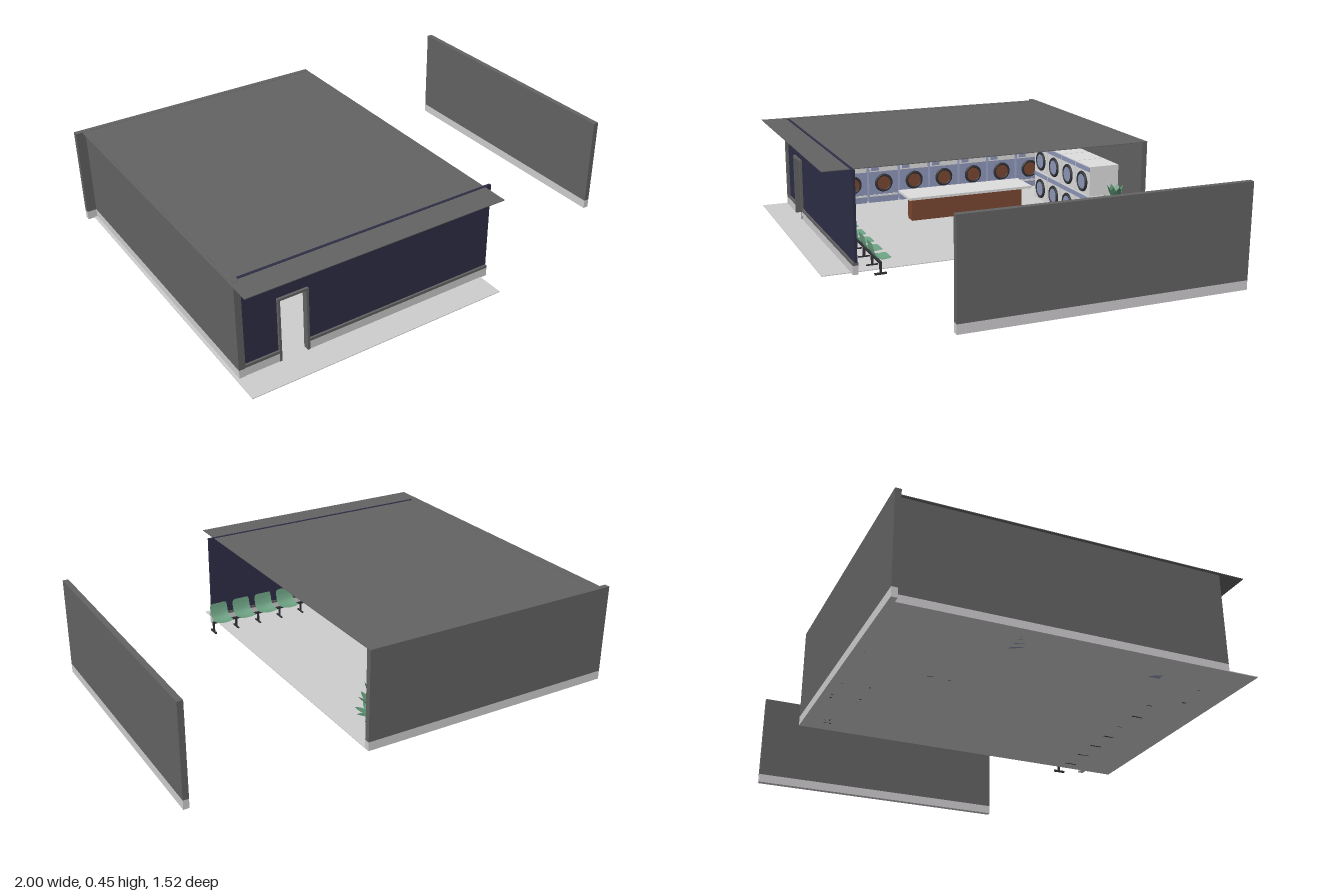
import * as THREE from 'three';

const mat = (name, color, side = THREE.FrontSide) => {
  const m = new THREE.MeshStandardMaterial({ color, side });
  m.name = name;
  return m;
};

export function createModel() {
  const M = {
    wall: mat('wallGrey', 0x636363, THREE.DoubleSide),
    pale: mat('paleFloor', 0xcfcdcf),
    navy: mat('navyPanel', 0x2e2e47),
    lavender: mat('machineLavender', 0x8f98ba),
    white: mat('machineWhite', 0xdedede),
    brown: mat('brown', 0x7a4630),
    dark: mat('darkMetal', 0x303236),
    seat: mat('seatGreen', 0x6da183, THREE.DoubleSide),
    leaf: mat('leafGreen', 0x5b8f70, THREE.DoubleSide),
    pot: mat('potGreen', 0x35503f),
  };
  const root = new THREE.Group();

  const add = (parent, name, geo, material, x = 0, y = 0, z = 0) => {
    const m = new THREE.Mesh(geo, material);
    m.name = name;
    m.position.set(x, y, z);
    parent.add(m);
    return m;
  };
  // Box given by its lower and upper corners
  const box = (parent, name, material, x0, x1, y0, y1, z0, z1) =>
    add(parent, name, new THREE.BoxGeometry(x1 - x0, y1 - y0, z1 - z0), material,
      (x0 + x1) / 2, (y0 + y1) / 2, (z0 + z1) / 2);
  const group = (name, x = 0, y = 0, z = 0, parent = root) => {
    const g = new THREE.Group();
    g.name = name;
    g.position.set(x, y, z);
    parent.add(g);
    return g;
  };

  // Floor and roof slabs
  box(root, 'floor', M.pale, -0.97, 0.21, 0, 0.003, -0.765, 0.76);
  box(root, 'roof', M.wall, -0.97, 0.21, 0.441, 0.444, -0.765, 0.745);

  // Solid walls with a pale skirting
  const wall = (name, x0, x1, z0, z1) => {
    const g = group(name);
    box(g, 'skirting', M.pale, x0, x1, 0, 0.04, z0, z1);
    box(g, 'wallPanel', M.wall, x0, x1, 0.04, 0.445, z0, z1);
  };
  wall('backWall', -1, 0.21, -0.765, -0.74);
  wall('sideWall', -0.957, -0.932, -0.74, 0.637);
  wall('detachedSideWall', 0.975, 1, -0.765, 0.472);

  // Front wall with a door opening
  const front = group('frontWall');
  const dl = -0.78, dr = -0.645, dt = 0.295;
  for (const [x0, x1] of [[-0.932, dl], [dr, 0.24]]) {
    box(front, 'skirting', M.pale, x0, x1, 0, 0.04, 0.61, 0.635);
    box(front, 'sill', M.wall, x0, x1, 0.04, 0.052, 0.61, 0.635);
    box(front, 'panel', M.navy, x0, x1, 0.052, 0.446, 0.614, 0.626);
  }
  box(front, 'panelOverDoor', M.navy, dl, dr, dt, 0.446, 0.614, 0.626);
  box(front, 'frameEdge', M.wall, -0.936, -0.928, 0.04, 0.444, 0.61, 0.635);
  box(front, 'doorPost', M.wall, dl, dl + 0.01, 0, dt, 0.608, 0.637);
  box(front, 'doorPost', M.wall, dr - 0.01, dr, 0, dt, 0.608, 0.637);
  box(front, 'doorLintel', M.wall, dl, dr, dt - 0.01, dt, 0.608, 0.637);

  // Round machine door facing +z
  const porthole = (g, y, z, r, ring, glass) => {
    add(g, 'doorRing', new THREE.TorusGeometry(r, r * 0.18, 8, 28), ring, 0, y, z);
    add(g, 'doorGlass', new THREE.CylinderGeometry(r, r, 0.008, 28).rotateX(Math.PI / 2), glass, 0, y, z);
  };

  // Row of washers along the side wall
  for (let i = 0; i < 8; i++) {
    const g = group('washer', -0.868, 0, 0.498 - i * 0.165);
    g.rotation.y = Math.PI / 2;
    box(g, 'body', M.lavender, -0.077, 0.077, 0, 0.205, -0.062, 0.062);
    box(g, 'controlPanel', M.white, -0.075, 0.075, 0.165, 0.197, 0.062, 0.066);
    box(g, 'kickStrip', M.white, -0.075, 0.075, 0.035, 0.044, 0.062, 0.066);
    box(g, 'soapDrawer', M.lavender, -0.066, -0.026, 0.171, 0.19, 0.066, 0.068);
    porthole(g, 0.104, 0.064, 0.04, M.dark, M.brown);
  }

  // Stacked dryers along the back wall
  for (let i = 0; i < 4; i++) {
    const stack = group('dryerStack', -0.065 - i * 0.15, 0, -0.662);
    for (const x of [-0.06, 0.06]) for (const z of [-0.06, 0.06])
      add(stack, 'foot', new THREE.CylinderGeometry(0.006, 0.006, 0.01, 10), M.dark, x, 0.005, z);
    for (const y of [0.008, 0.153]) {
      const g = group('dryer', 0, y, 0, stack);
      box(g, 'body', M.white, -0.073, 0.073, 0, 0.143, -0.075, 0.075);
      box(g, 'controlPanel', M.lavender, -0.07, 0.07, 0.118, 0.139, 0.075, 0.078);
      porthole(g, 0.06, 0.077, 0.042, M.dark, M.lavender);
    }
  }

  // Folding table in the middle of the room
  const table = group('foldingTable', -0.443, 0, -0.14);
  box(table, 'base', M.brown, -0.03, 0.03, 0, 0.12, -0.29, 0.29);
  box(table, 'top', M.white, -0.085, 0.085, 0.12, 0.132, -0.32, 0.32);

  // Seat shell: a sheet bent along a profile, with rounded ends
  const profile = new THREE.CatmullRomCurve3([
    [0.134, 0.557], [0.1, 0.552], [0.072, 0.54], [0.06, 0.518], [0.061, 0.495], [0.064, 0.472],
  ].map(([y, z]) => new THREE.Vector3(0, y, z)));
  const shell = new THREE.PlaneGeometry(0.09, 1, 8, 24);
  const p = shell.attributes.position;
  for (let i = 0; i < p.count; i++) {
    const t = 0.5 - p.getY(i);
    const c = profile.getPointAt(THREE.MathUtils.clamp(t, 0, 1));
    const w = Math.pow(1 - Math.pow(Math.abs(2 * t - 1), 8), 0.4);
    const x = p.getX(i) * (0.5 + 0.5 * w);
    p.setXYZ(i, x, c.y + 2.5 * x * x, c.z);
  }
  shell.computeVertexNormals();

  // Row of seats along the front wall, on a shared beam
  const seats = group('seatRow');
  box(seats, 'beam', M.dark, -0.567, 0.275, 0.046, 0.055, 0.519, 0.53);
  for (let i = 0; i < 8; i++) {
    const x = 0.273 - i * 0.12;
    box(seats, 'leg', M.dark, x - 0.004, x + 0.004, 0.008, 0.055, 0.52, 0.53);
    box(seats, 'legFoot', M.dark, x - 0.004, x + 0.004, 0, 0.008, 0.5, 0.552);
    if (i < 7) add(seats, 'seat', shell, M.seat, x - 0.042);
  }

  // Potted plant in the back corner
  const plant = group('pottedPlant', 0.12, 0, -0.66);
  add(plant, 'pot', new THREE.CylinderGeometry(0.034, 0.025, 0.055, 20), M.pot, 0, 0.0275);
  add(plant, 'stem', new THREE.CylinderGeometry(0.004, 0.005, 0.1, 8), M.pot, 0, 0.1);
  const leafShape = new THREE.Shape();
  leafShape.moveTo(0, 0);
  leafShape.quadraticCurveTo(0.036, 0.035, 0, 0.085);
  leafShape.quadraticCurveTo(-0.036, 0.035, 0, 0);
  const leafGeo = new THREE.ShapeGeometry(leafShape, 6);
  for (let i = 0; i < 24; i++) {
    const tier = Math.floor(i / 8);
    const leaf = add(plant, 'leaf', leafGeo, M.leaf, 0, 0.085 + tier * 0.034, 0);
    leaf.rotation.order = 'YXZ';
    leaf.rotation.set(1.25 - tier * 0.38, i * Math.PI / 4 + tier * 0.4, 0);
  }
  return root;
}
